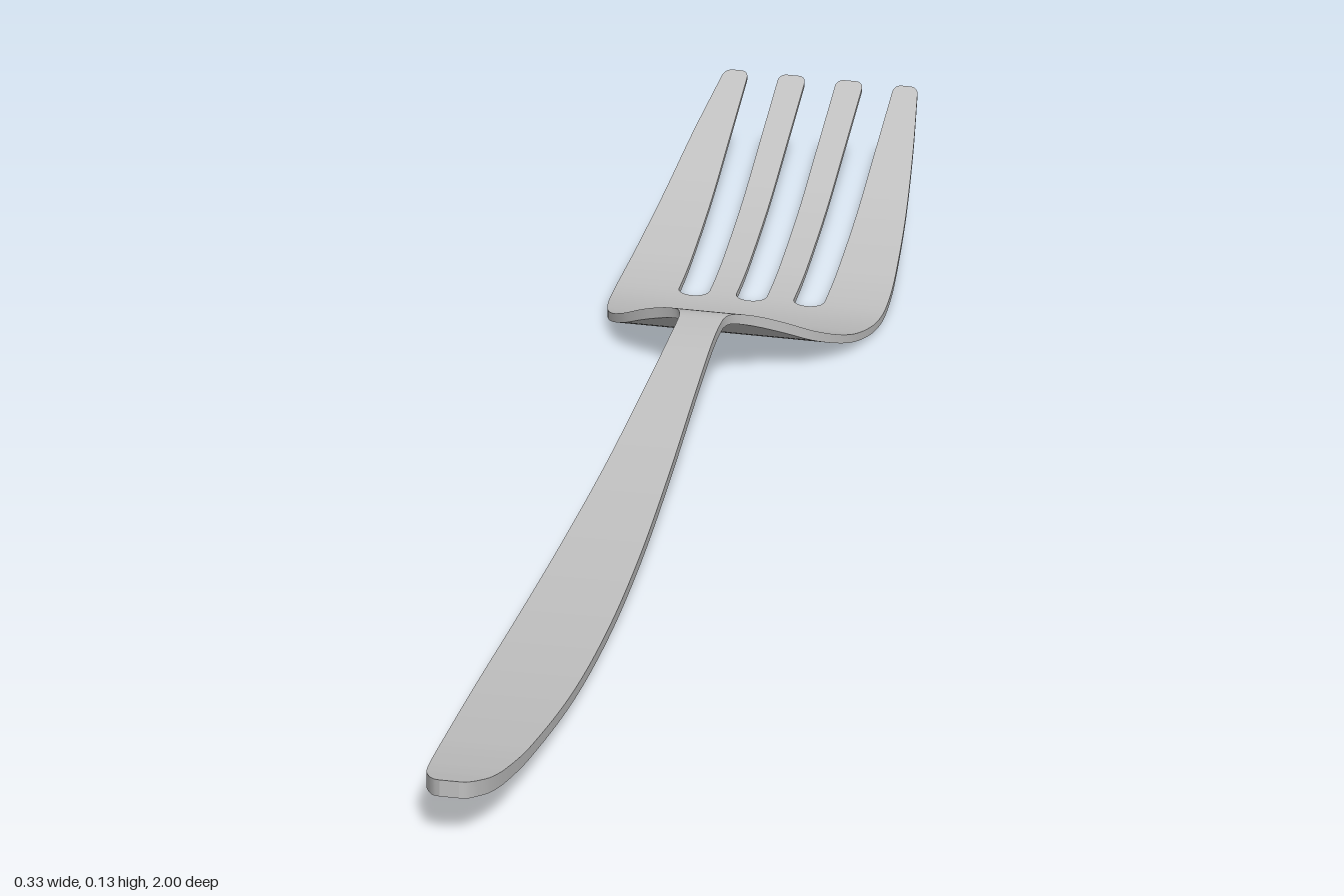
import * as THREE from 'three';
import { mergeGeometries } from 'three/addons/utils/BufferGeometryUtils.js';

// Stations along the fork: z, half width, mid-surface height, thickness
const STATIONS = [
  [1.0, 0.012, 0.067, 0.022], [0.994, 0.021, 0.065, 0.022], [0.98, 0.03, 0.062, 0.021],
  [0.95, 0.04, 0.055, 0.02], [0.9, 0.047, 0.046, 0.018], [0.8, 0.054, 0.033, 0.015],
  [0.6, 0.06, 0.018, 0.013], [0.4, 0.058, 0.014, 0.013], [0.2, 0.051, 0.022, 0.013],
  [0, 0.041, 0.042, 0.013], [-0.2, 0.031, 0.073, 0.013], [-0.3, 0.027, 0.089, 0.013],
  [-0.35, 0.027, 0.094, 0.012], [-0.365, 0.03, 0.094, 0.012], [-0.38, 0.038, 0.09, 0.013],
  [-0.4, 0.06, 0.08, 0.014], [-0.42, 0.088, 0.066, 0.014], [-0.45, 0.119, 0.045, 0.013],
  [-0.5, 0.148, 0.022, 0.011], [-0.55, 0.162, 0.01, 0.01], [-0.6, 0.167, 0.005, 0.009],
  [-0.65, 0.166, 0.009, 0.008], [-0.7, 0.162, 0.019, 0.007], [-0.8, 0.151, 0.049, 0.006],
  [-0.9, 0.137, 0.09, 0.006], [-1.0, 0.12, 0.132, 0.005],
];
const SLOT_END = -0.61, SLOT_HALF = 0.019, SLOT_X = 0.0715;

// Smooth interpolation of one station column at z
function column(z, c) {
  const S = STATIONS, last = S.length - 1;
  let i = 0;
  while (i < last - 1 && z < S[i + 1][0]) i++;
  const slope = (k) => {
    const a = S[Math.max(k - 1, 0)], b = S[Math.min(k + 1, last)];
    return (b[c] - a[c]) / (b[0] - a[0]);
  };
  const h = S[i + 1][0] - S[i][0], t = (z - S[i][0]) / h, t2 = t * t, t3 = t2 * t;
  return (2 * t3 - 3 * t2 + 1) * S[i][c] + (t3 - 2 * t2 + t) * h * slope(i)
    + (3 * t2 - 2 * t3) * S[i + 1][c] + (t3 - t2) * h * slope(i + 1);
}
const halfWidth = (z) => column(z, 1);

// Surface between two matching edge lines
function ribbon(p, q) {
  const pos = [], idx = [];
  p.forEach((a, i) => {
    pos.push(...a, ...q[i]);
    const k = 2 * i;
    if (i < p.length - 1) idx.push(k, k + 1, k + 3, k, k + 3, k + 2);
  });
  const g = new THREE.BufferGeometry();
  g.setAttribute('position', new THREE.Float32BufferAttribute(pos, 3));
  g.setIndex(idx);
  g.computeVertexNormals();
  return g;
}

// Bent bar running towards -z between a left and a right edge
function bar(zs, minX, maxX, capFront, capBack) {
  const edge = (fx, side) =>
    zs.map((z) => [fx(z), column(z, 2) + side * column(z, 3) / 2, z]);
  const tl = edge(minX, 1), tr = edge(maxX, 1), bl = edge(minX, -1), br = edge(maxX, -1);
  const n = zs.length - 1;
  const parts = [ribbon(tl, tr), ribbon(tr, br), ribbon(br, bl), ribbon(bl, tl)];
  if (capFront) parts.push(ribbon([bl[0], tl[0]], [br[0], tr[0]]));
  if (capBack) parts.push(ribbon([tl[n], bl[n]], [tr[n], br[n]]));
  return mergeGeometries(parts);
}

// Slot half width, rounded at the root; tine inset, rounded at the tip
const arc = (d, r) => Math.sqrt(1 - (1 - Math.min(Math.max(d / r, 0), 1)) ** 2);
const slot = (z) => SLOT_HALF * arc(SLOT_END - z, 0.015);
const inset = (z) => 0.009 * (1 - arc(z + 1, 0.01));

export function createModel() {
  const steel = new THREE.MeshStandardMaterial({ color: 0xbfbfbf });
  steel.name = 'steel';
  const group = new THREE.Group();
  group.name = 'fork';
  const add = (name, geometry) => {
    const mesh = new THREE.Mesh(geometry, steel);
    mesh.name = name;
    group.add(mesh);
  };

  // Handle, neck and the solid part of the head
  const bodyZ = Array.from({ length: 241 }, (_, i) => 1 - (1 - SLOT_END) * (i / 240) ** 1.3);
  add('handleAndHead', bar(bodyZ, (z) => -halfWidth(z), halfWidth, true, false));

  // Four tines separated by three slots
  const tineZ = Array.from({ length: 81 }, (_, i) =>
    SLOT_END - (1 + SLOT_END) * (1 - Math.cos(Math.PI * i / 80)) / 2);
  const edges = [
    ['outerRightTine', (z) => -halfWidth(z), (z) => -SLOT_X - slot(z)],
    ['innerRightTine', (z) => -SLOT_X + slot(z), (z) => -slot(z)],
    ['innerLeftTine', (z) => slot(z), (z) => SLOT_X - slot(z)],
    ['outerLeftTine', (z) => SLOT_X + slot(z), halfWidth],
  ];
  for (const [name, a, b] of edges) {
    add(name, bar(tineZ, (z) => a(z) + inset(z), (z) => b(z) - inset(z), false, true));
  }
  return group;
}
